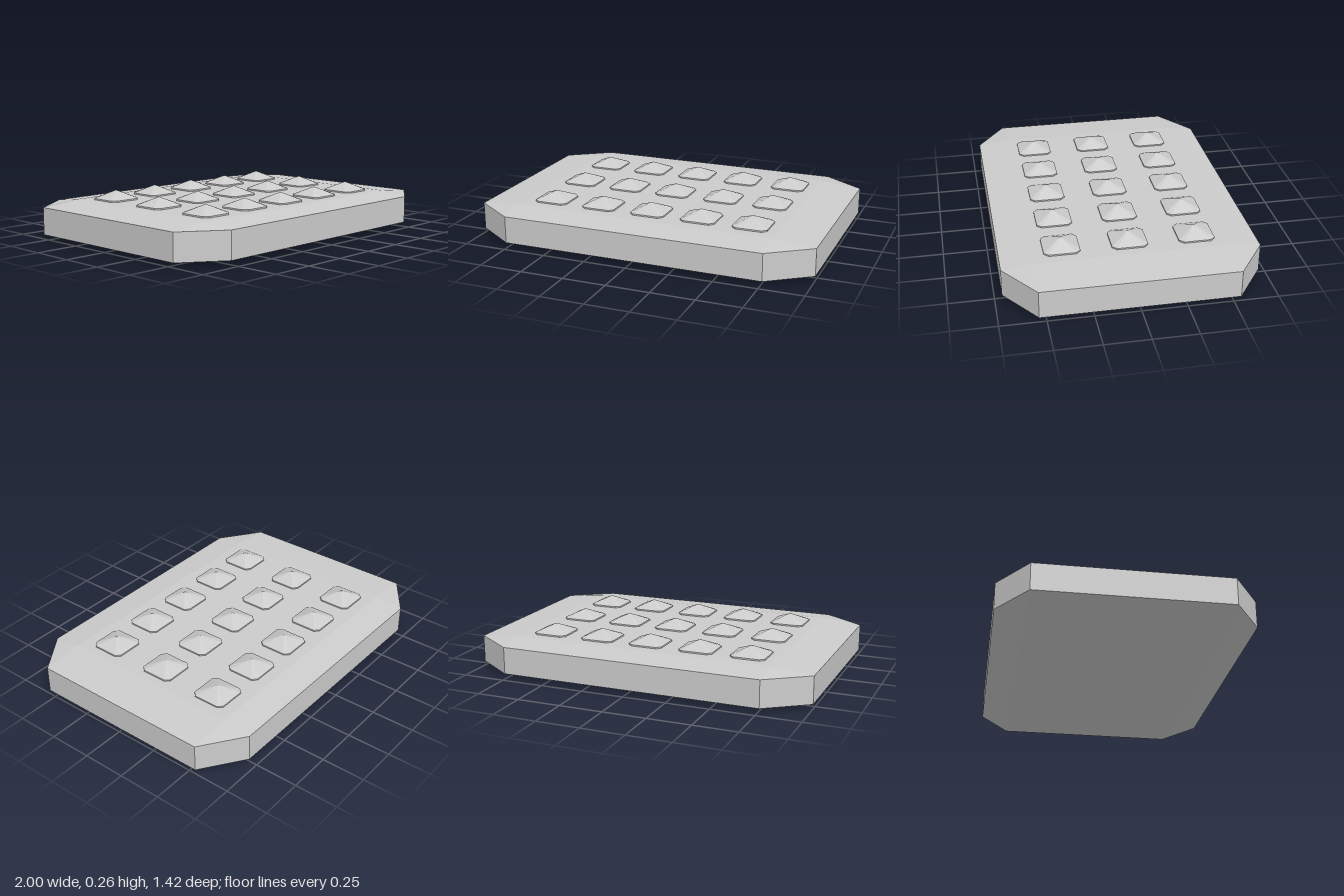
import * as THREE from 'three';
import { ConvexGeometry } from 'three/addons/geometries/ConvexGeometry.js';

const material = new THREE.MeshStandardMaterial({ color: 0xcccccc, flatShading: true });

// Rectangle with cut corners at height y: hx, hz are outer half sizes, ix, iz where the cuts start
function octagon(hx, hz, ix, iz, y) {
  const points = [];
  for (const sx of [-1, 1]) {
    for (const sz of [-1, 1]) {
      points.push(new THREE.Vector3(sx * hx, y, sz * iz), new THREE.Vector3(sx * ix, y, sz * hz));
    }
  }
  return points;
}

function rectangle(hx, hz, y) {
  const points = [];
  for (const sx of [-1, 1]) {
    for (const sz of [-1, 1]) points.push(new THREE.Vector3(sx * hx, y, sz * hz));
  }
  return points;
}

export function createModel() {
  const model = new THREE.Group();
  model.name = 'studdedPlate';

  // Plate with bevelled edges and corners, above and below
  const plate = new THREE.Mesh(new ConvexGeometry([
    ...rectangle(0.76, 0.54, 0),
    ...octagon(1, 0.71, 0.76, 0.54, 0.025),
    ...octagon(1, 0.71, 0.76, 0.54, 0.182),
    ...rectangle(0.76, 0.54, 0.203),
  ]), material);
  plate.name = 'plate';
  model.add(plate);

  // Pointed studs in a 5 by 3 grid
  const studGeometry = new ConvexGeometry([
    ...octagon(0.1, 0.1, 0.075, 0.075, -0.01),
    ...octagon(0.1, 0.1, 0.075, 0.075, 0.008),
    new THREE.Vector3(0, 0.055, 0),
  ]);
  const studs = new THREE.Group();
  studs.name = 'studs';
  for (let row = -1; row <= 1; row++) {
    for (let column = -2; column <= 2; column++) {
      const stud = new THREE.Mesh(studGeometry, material);
      stud.name = 'stud';
      stud.position.set(column * 0.302, 0.203, row * 0.372);
      studs.add(stud);
    }
  }
  model.add(studs);
  return model;
}
